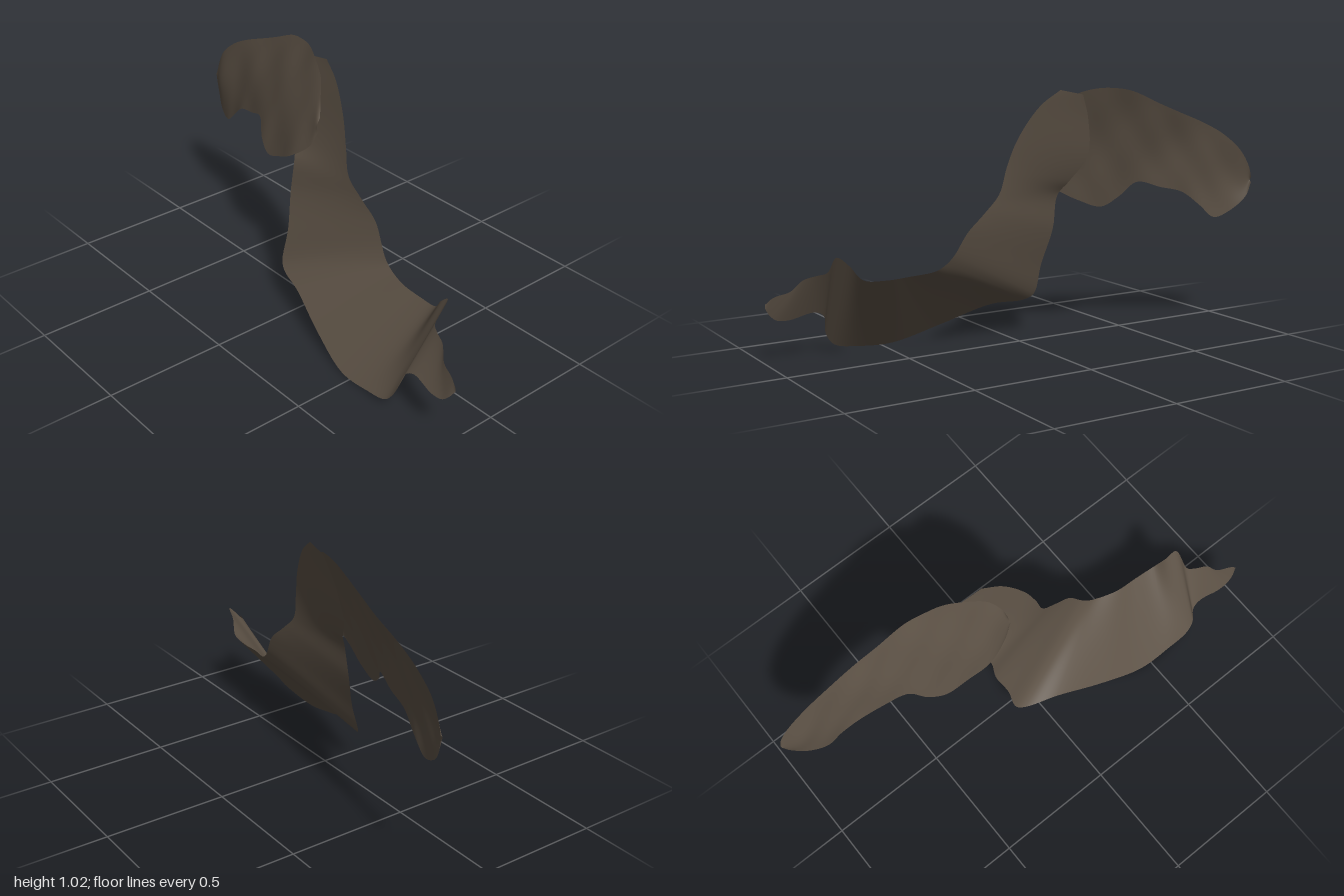
import * as THREE from 'three';

// Each row is a cross-section of a sheet: lower edge x, y, z, then upper edge x, y, z.
const BODY = [
  [-0.20, 1.00, -0.150, -0.10, 1.02, -0.140],
  [-0.24, 0.90, -0.130, -0.02, 0.96, -0.120],
  [-0.26, 0.75, -0.100, 0.06, 0.84, -0.090],
  [-0.20, 0.65, -0.060, 0.10, 0.73, -0.070],
  [-0.165, 0.59, -0.025, 0.13, 0.62, -0.060],
  [-0.16, 0.45, 0.000, 0.20, 0.55, -0.065],
  [-0.13, 0.30, 0.040, 0.28, 0.48, -0.070],
  [-0.12, 0.17, 0.080, 0.33, 0.40, -0.060],
  [-0.08, 0.145, 0.100, 0.36, 0.365, -0.050],
  [0.05, 0.135, 0.140, 0.40, 0.34, -0.040],
  [0.25, 0.065, 0.200, 0.50, 0.325, -0.015],
  [0.45, 0.005, 0.245, 0.60, 0.32, -0.010],
  [0.60, 0.01, 0.250, 0.69, 0.33, 0.000],
  [0.70, 0.03, 0.250, 0.735, 0.385, 0.020],
  [0.74, 0.08, 0.240, 0.78, 0.42, 0.030],
  [0.76, 0.16, 0.210, 0.79, 0.35, 0.100],
  [0.80, 0.18, 0.205, 0.82, 0.34, 0.120],
  [0.90, 0.16, 0.215, 0.87, 0.325, 0.140],
  [0.95, 0.165, 0.215, 0.91, 0.28, 0.170],
  [0.98, 0.19, 0.210, 0.97, 0.26, 0.190],
  [1.00, 0.22, 0.200, 1.00, 0.235, 0.200],
];
const WING = [
  [-1.00, 0.61, -0.250, -1.00, 0.63, -0.250],
  [-0.98, 0.55, -0.240, -0.985, 0.68, -0.250],
  [-0.92, 0.49, -0.210, -0.94, 0.75, -0.245],
  [-0.85, 0.465, -0.190, -0.85, 0.82, -0.240],
  [-0.78, 0.52, -0.180, -0.75, 0.87, -0.235],
  [-0.70, 0.58, -0.160, -0.62, 0.92, -0.230],
  [-0.60, 0.605, -0.140, -0.52, 0.96, -0.220],
  [-0.50, 0.63, -0.110, -0.40, 1.01, -0.210],
  [-0.44, 0.57, -0.070, -0.33, 1.023, -0.195],
  [-0.37, 0.53, -0.045, -0.25, 1.023, -0.175],
  [-0.27, 0.56, -0.030, -0.17, 1.00, -0.140],
  [-0.17, 0.61, -0.015, -0.10, 0.95, -0.110],
  [-0.08, 0.68, -0.035, -0.06, 0.88, -0.075],
  [-0.045, 0.75, -0.050, -0.045, 0.81, -0.060],
];

// Smooth sheet spanned between two edge curves, with optional relief in z.
function sheet(rows, relief = () => 0, across = 24) {
  const edge = (k) => new THREE.CatmullRomCurve3(
    rows.map((r) => new THREE.Vector3(r[k], r[k + 1], r[k + 2])));
  const lower = edge(0), upper = edge(3);
  const along = (rows.length - 1) * 6;
  const pos = [], index = [];
  for (let i = 0; i <= along; i++) {
    const a = lower.getPoint(i / along), b = upper.getPoint(i / along);
    for (let j = 0; j <= across; j++) {
      const v = j / across, p = a.clone().lerp(b, v);
      pos.push(p.x, p.y, p.z + relief(p.x, p.y) * Math.sin(Math.PI * v));
      if (i < along && j < across) {
        const s = i * (across + 1) + j, t = s + across + 1;
        index.push(s, t, t + 1, s, t + 1, s + 1);
      }
    }
  }
  const g = new THREE.BufferGeometry();
  g.setAttribute('position', new THREE.Float32BufferAttribute(pos, 3));
  g.setIndex(index);
  g.computeVertexNormals();
  return g;
}

export function createModel() {
  const group = new THREE.Group();
  const bark = new THREE.MeshStandardMaterial({ color: 0x5c5145, side: THREE.DoubleSide });
  bark.name = 'dark brown';

  // Twisted body sheet ending in an ear and snout
  const body = new THREE.Mesh(sheet(BODY), bark);
  body.name = 'bodySheet';

  // Lightly wrinkled wing sheet lapping over the front of the shoulder
  const wrinkles = (x, y) => 0.012 + 0.003 * Math.sin(19 * x + 9 * y) + 0.002 * Math.sin(37 * x - 23 * y);
  const wing = new THREE.Mesh(sheet(WING, wrinkles), bark);
  wing.name = 'wingSheet';

  group.add(body, wing);
  return group;
}
